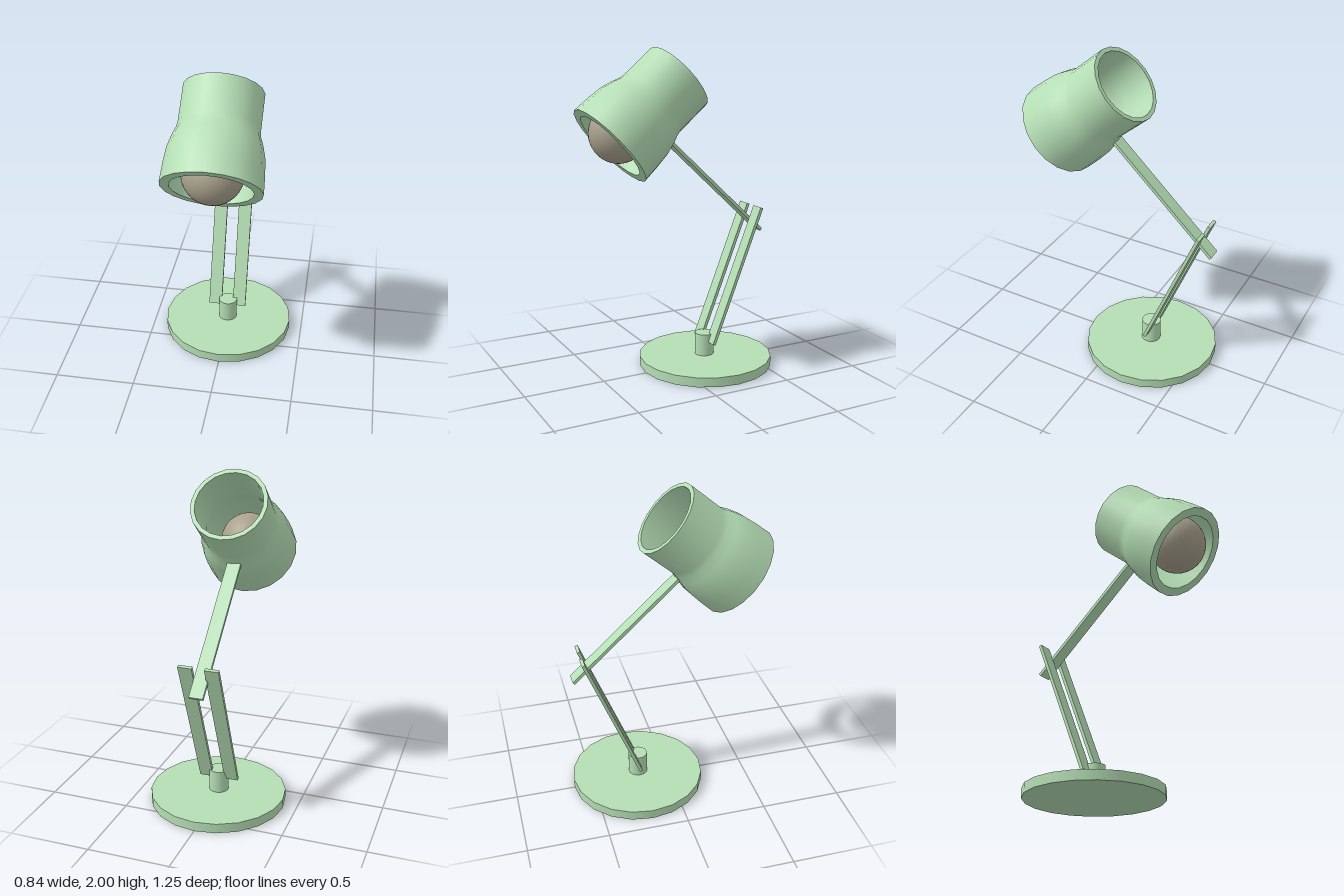
import * as THREE from 'three';
import { toCreasedNormals } from 'three/addons/utils/BufferGeometryUtils.js';

export function createModel() {
  const model = new THREE.Group();
  model.name = 'deskLamp';
  const green = new THREE.MeshStandardMaterial({ color: 0xb5deb5 });
  const glass = new THREE.MeshStandardMaterial({ color: 0xa9a18d });

  function add(name, geometry, material, x, y, z) {
    const mesh = new THREE.Mesh(geometry, material);
    mesh.name = name;
    mesh.position.set(x, y, z);
    model.add(mesh);
    return mesh;
  }

  // Flat bar between two points [y, z] of the side plane
  function addBar(name, x, [y0, z0], [y1, z1]) {
    const length = Math.hypot(y1 - y0, z1 - z0);
    const bar = add(name, new THREE.BoxGeometry(0.085, length, 0.02), green, x, (y0 + y1) / 2, (z0 + z1) / 2);
    bar.rotation.x = Math.atan2(z1 - z0, y1 - y0);
  }

  // Base disc and post
  add('base', new THREE.CylinderGeometry(0.42, 0.42, 0.06, 20), green, 0, 0.03, -0.205);
  add('post', new THREE.CylinderGeometry(0.06, 0.06, 0.14, 20), green, -0.002, 0.13, -0.2);

  // Paired lower arm and single upper arm
  addBar('lowerArmLeft', 0.073, [0.147, -0.207], [1.0, -0.544]);
  addBar('lowerArmRight', -0.088, [0.147, -0.207], [1.0, -0.544]);
  addBar('upperArm', -0.012, [0.838, -0.596], [1.445, 0.055]);

  // Shade: open, thick-walled sleeve flaring to the front, [radius, height from front rim]
  const profile = [
    [0.236, 0], [0.289, 0], [0.284, 0.11], [0.275, 0.205], [0.257, 0.276], [0.239, 0.325],
    [0.234, 0.36], [0.234, 0.59],
    [0.208, 0.59], [0.208, 0.36], [0.212, 0.325], [0.224, 0.276], [0.233, 0.205], [0.236, 0.11], [0.236, 0],
  ].map(([r, h]) => new THREE.Vector2(r, h));
  const shade = add('shade', toCreasedNormals(new THREE.LatheGeometry(profile, 20), 0.7), green, 0, 1.438, 0.436);
  shade.rotation.x = -0.862;

  // Bulb
  add('bulb', new THREE.SphereGeometry(0.177, 32, 20), glass, 0, 1.51, 0.38);

  return model;
}
